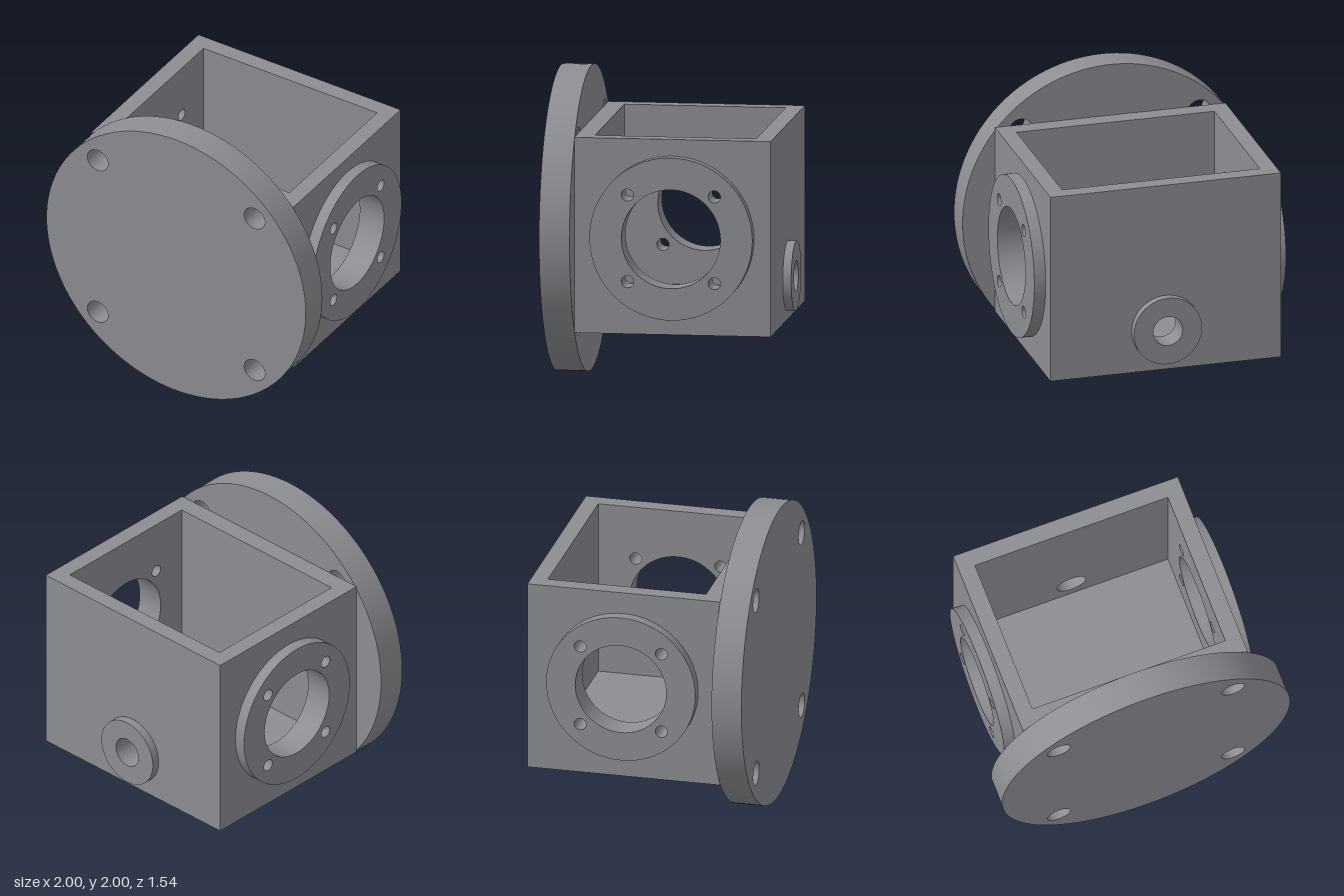
import * as THREE from 'three';
import { toCreasedNormals } from 'three/addons/utils/BufferGeometryUtils.js';

const castMetal = new THREE.MeshStandardMaterial({ color: 0x8c8e92 });
castMetal.name = 'grey cast metal';

// Housing extents
const X = 0.78, Y0 = 0.36, Y1 = 1.645, ZB = -0.72, ZF = 0.57;
const WALL = 0.11, CY = 1, CZ = -0.075;

function circle(x, y, r) {
  const s = new THREE.Shape();
  s.absarc(x, y, r, 0, Math.PI * 2);
  return s;
}

function rect(x0, y0, x1, y1) {
  const s = new THREE.Shape();
  s.moveTo(x0, y0);
  s.lineTo(x1, y0);
  s.lineTo(x1, y1);
  s.lineTo(x0, y1);
  s.closePath();
  return s;
}

// Four holes on the corners of a square
function bolts(x, y, d, r) {
  return [[-1, -1], [1, -1], [1, 1], [-1, 1]].map(([i, j]) => circle(x + i * d, y + j * d, r));
}

// Flat plate cut from an outline; across = true turns it to face along x
function plate(name, outline, holes, from, to, across = false) {
  outline.holes = holes;
  const geometry = new THREE.ExtrudeGeometry(outline, {
    depth: to - from, bevelEnabled: false, curveSegments: 64,
  });
  geometry.translate(0, 0, from);
  if (across) geometry.rotateY(Math.PI / 2);
  const mesh = new THREE.Mesh(toCreasedNormals(geometry, 0.6), castMetal);
  mesh.name = name;
  return mesh;
}

export function createModel() {
  const model = new THREE.Group();
  model.name = 'flangedHousing';

  // Round mounting disc with four bolt holes
  model.add(plate('mountingDisc', circle(0, CY, 1), bolts(0, CY, 0.605, 0.08), ZF, 0.77));

  // Floor of the open-topped box
  const floor = new THREE.Mesh(new THREE.BoxGeometry(2 * X, WALL, ZF - ZB), castMetal);
  floor.position.set(0, Y0 + WALL / 2, CZ);
  floor.name = 'floor';
  model.add(floor);

  // Front wall, and back wall with a small port
  const inner = X - WALL, base = Y0 + WALL, portY = 0.645;
  model.add(plate('frontWall', rect(-inner, base, inner, Y1), [], 0.45, ZF));
  model.add(plate('backWall', rect(-inner, base, inner, Y1), [circle(0, portY, 0.1)], ZB, ZB + WALL));
  model.add(plate('backBoss', circle(0, portY, 0.23), [circle(0, portY, 0.1)], -0.775, ZB));

  // Side walls and their bolted port flanges (plate x runs along -z)
  const sides = [
    { name: 'left', sign: 1, radius: 0.535, bore: 0.325, bolt: 0.285 },
    { name: 'right', sign: -1, radius: 0.5, bore: 0.305, bolt: 0.272 },
  ];
  for (const { name, sign, radius, bore, bolt } of sides) {
    const holes = () => [circle(-CZ, CY, bore), ...bolts(-CZ, CY, bolt, 0.04)];
    const span = (a, b) => (sign > 0 ? [a, b] : [-b, -a]);
    model.add(plate(name + 'Wall', rect(-ZF, base, -ZB, Y1), holes(), ...span(inner, X), true));
    model.add(plate(name + 'PortFlange', circle(-CZ, CY, radius), holes(), ...span(X, 0.857), true));
  }
  return model;
}
